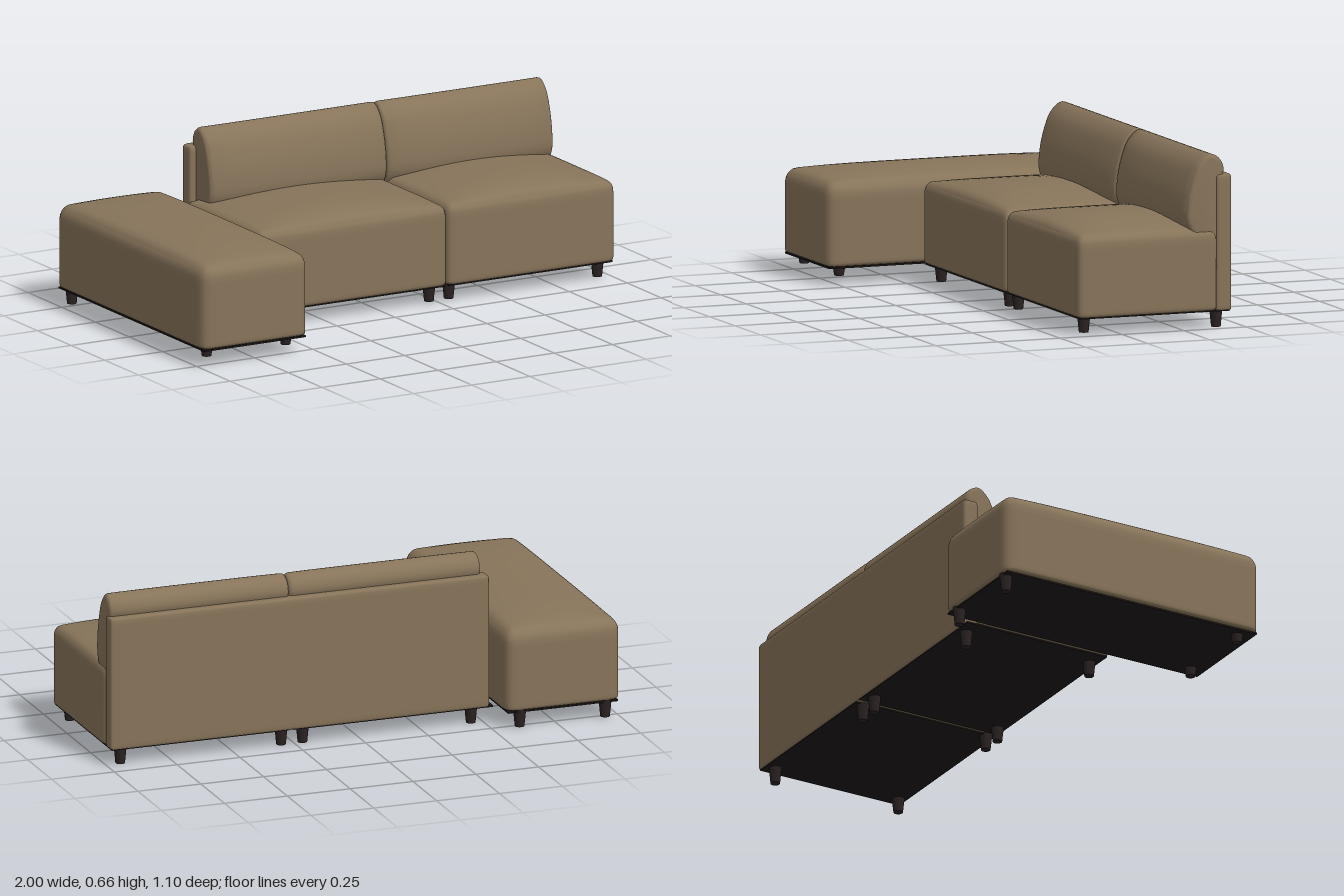
import * as THREE from 'three';
import { mergeVertices, toCreasedNormals } from 'three/addons/utils/BufferGeometryUtils.js';

const fabric = new THREE.MeshStandardMaterial({ color: 0x87745a });
fabric.name = 'tan fabric';
const lining = new THREE.MeshStandardMaterial({ color: 0x1e1818 });
lining.name = 'black lining';
const wood = new THREE.MeshStandardMaterial({ color: 0x2b2223 });
wood.name = 'dark wood';

function add(parent, name, geometry, material) {
  const mesh = new THREE.Mesh(geometry, material);
  mesh.name = name;
  parent.add(mesh);
  return mesh;
}

// Upholstered block between two corners: rounded edges, with a domed top
function softBlock([x0, y0, z0], [x1, y1, z1], side, top, bottom, crown) {
  const half = [(x1 - x0) / 2, (y1 - y0) / 2, (z1 - z0) / 2];
  const centre = [(x1 + x0) / 2, (y1 + y0) / 2, (z1 + z0) / 2];
  let geo = new THREE.BoxGeometry(2, 2, 2, 28, 20, 28);
  geo.deleteAttribute('normal');
  geo.deleteAttribute('uv');
  geo = mergeVertices(geo);
  const pos = geo.attributes.position;
  for (let i = 0; i < pos.count; i++) {
    // crowd the grid towards the edges, then round them
    const unit = [pos.getX(i), pos.getY(i), pos.getZ(i)].map(t => Math.sin(t * Math.PI / 2));
    const radius = [side, unit[1] > 0 ? top : bottom, side];
    const p = unit.map((t, k) => t * half[k]);
    const inner = p.map((v, k) => THREE.MathUtils.clamp(v, radius[k] - half[k], half[k] - radius[k]));
    const q = p.map((v, k) => (v - inner[k]) / radius[k]);
    const len = Math.hypot(...q) || 1;
    const r = inner.map((v, k) => v + q[k] / len * radius[k] + centre[k]);
    const lift = Math.max(0, unit[1]) ** 2;
    r[1] += crown * lift * (1 - unit[0] ** 2) * (1 - unit[2] ** 4);
    pos.setXYZ(i, ...r);
  }
  geo.computeVertexNormals();
  return geo;
}

// Back cushion: side profile extruded along x, fullest in the middle
function backCushion(x0, x1) {
  const face = new THREE.CatmullRomCurve3([
    [-0.345, 0.21], [-0.285, 0.345], [-0.257, 0.4], [-0.258, 0.47], [-0.277, 0.55],
    [-0.31, 0.62], [-0.36, 0.655], [-0.4, 0.64], [-0.419, 0.6], [-0.41, 0.56]
  ].map(([z, y]) => new THREE.Vector3(-z, y, 0)));
  const outline = face.getPoints(40).map(p => new THREE.Vector2(p.x, p.y));
  outline.push(new THREE.Vector2(0.395, 0.21));
  const bevel = 0.016, width = x1 - x0;
  const geo = new THREE.ExtrudeGeometry(new THREE.Shape(outline), {
    depth: width - 2 * bevel, steps: 16, bevelEnabled: true,
    bevelThickness: bevel, bevelSize: bevel, bevelOffset: -bevel, bevelSegments: 4
  });
  geo.rotateY(Math.PI / 2);
  geo.translate(x0 + bevel, 0, 0);
  const pos = geo.attributes.position;
  for (let i = 0; i < pos.count; i++) {
    const u = (pos.getX(i) - x0) / width * 2 - 1;
    const z = pos.getZ(i) + 0.385;
    if (z > 0) pos.setZ(i, z * (1 - 0.14 * u ** 4) - 0.385);
  }
  geo.deleteAttribute('uv');
  return toCreasedNormals(geo, 0.7);
}

// Tapered leg hanging from the base
function leg(parent, name, x, z, foot) {
  const height = 0.075 - foot;
  add(parent, name, new THREE.CylinderGeometry(0.025, 0.018, height, 16), wood)
    .position.set(x, foot + height / 2, z);
}

// Dark lining under a module
function underside(parent, x0, x1, z0, z1) {
  add(parent, 'underside', new THREE.BoxGeometry(x1 - x0, 0.006, z1 - z0), lining)
    .position.set((x0 + x1) / 2, 0.066, (z0 + z1) / 2);
}

export function createModel() {
  const model = new THREE.Group();
  model.name = 'modularSofa';

  // Long ottoman on the right-hand end
  const ottoman = new THREE.Group();
  ottoman.name = 'ottoman';
  model.add(ottoman);
  add(ottoman, 'ottomanCushion',
    softBlock([-1, 0.067, -0.55], [-0.542, 0.387, 0.55], 0.045, 0.055, 0.012, 0.025), fabric);
  underside(ottoman, -0.99, -0.552, -0.54, 0.54);
  for (const x of [-0.945, -0.605]) {
    leg(ottoman, 'ottomanFrontLeg', x, 0.48, 0.03);
    leg(ottoman, 'ottomanBackLeg', x, -0.52, 0.004);
  }

  // Two seat modules, each with a seat and a back cushion
  const modules = [
    { name: 'rightSeat', seat: [-0.54, 0.274], back: [-0.49, 0.272], legs: [-0.455, 0.215] },
    { name: 'leftSeat', seat: [0.274, 0.997], back: [0.272, 0.987], legs: [0.3, 0.94] }
  ];
  for (const { name, seat, back, legs } of modules) {
    const group = new THREE.Group();
    group.name = name;
    model.add(group);
    add(group, 'seatCushion',
      softBlock([seat[0], 0.065, -0.39], [seat[1], 0.375, 0.173], 0.03, 0.04, 0.012, 0.037), fabric);
    add(group, 'backCushion', backCushion(...back), fabric);
    underside(group, seat[0] + 0.01, seat[1] - 0.01, -0.44, 0.163);
    for (const x of legs) {
      leg(group, 'frontLeg', x, 0.13, 0.008);
      leg(group, 'backLeg', x, -0.402, 0);
    }
  }

  // Flat panel behind the back cushions
  add(model, 'backPanel',
    softBlock([-0.515, 0.065, -0.447], [0.993, 0.58, -0.383], 0.014, 0.014, 0.008, 0), fabric);

  return model;
}
